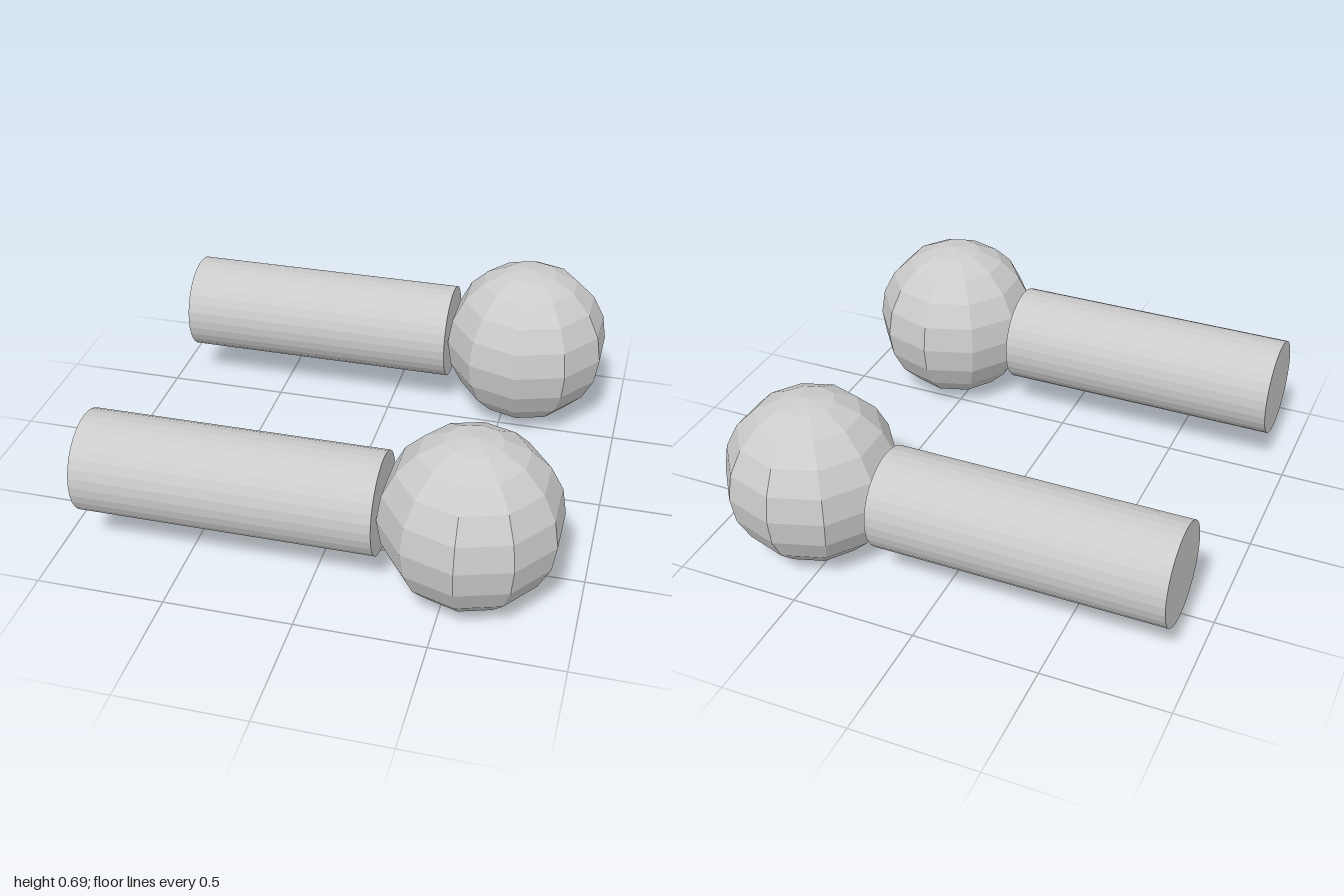
import * as THREE from 'three';

export function createModel() {
  const model = new THREE.Group();
  const material = new THREE.MeshStandardMaterial({ color: 0xcccccc, flatShading: true });

  // Ten-sided ball with vertices on the z axis
  const ballGeometry = new THREE.SphereGeometry(0.345, 10, 10).rotateY(Math.PI / 2);
  // Handle lying along x
  const handleGeometry = new THREE.CylinderGeometry(0.198, 0.198, 1.16, 32).rotateZ(Math.PI / 2);

  for (const [name, z] of [['front', 0.655], ['back', -0.655]]) {
    const club = new THREE.Group();
    club.name = name + 'Club';
    club.position.z = z;

    const ball = new THREE.Mesh(ballGeometry, material);
    ball.name = name + 'Ball';
    ball.position.set(0.58, 0.345, 0);

    // The handle sits slightly off the ball's axis
    const handle = new THREE.Mesh(handleGeometry, material);
    handle.name = name + 'Handle';
    handle.position.set(-0.33, 0.336, -0.012);

    club.add(ball, handle);
    model.add(club);
  }
  return model;
}
